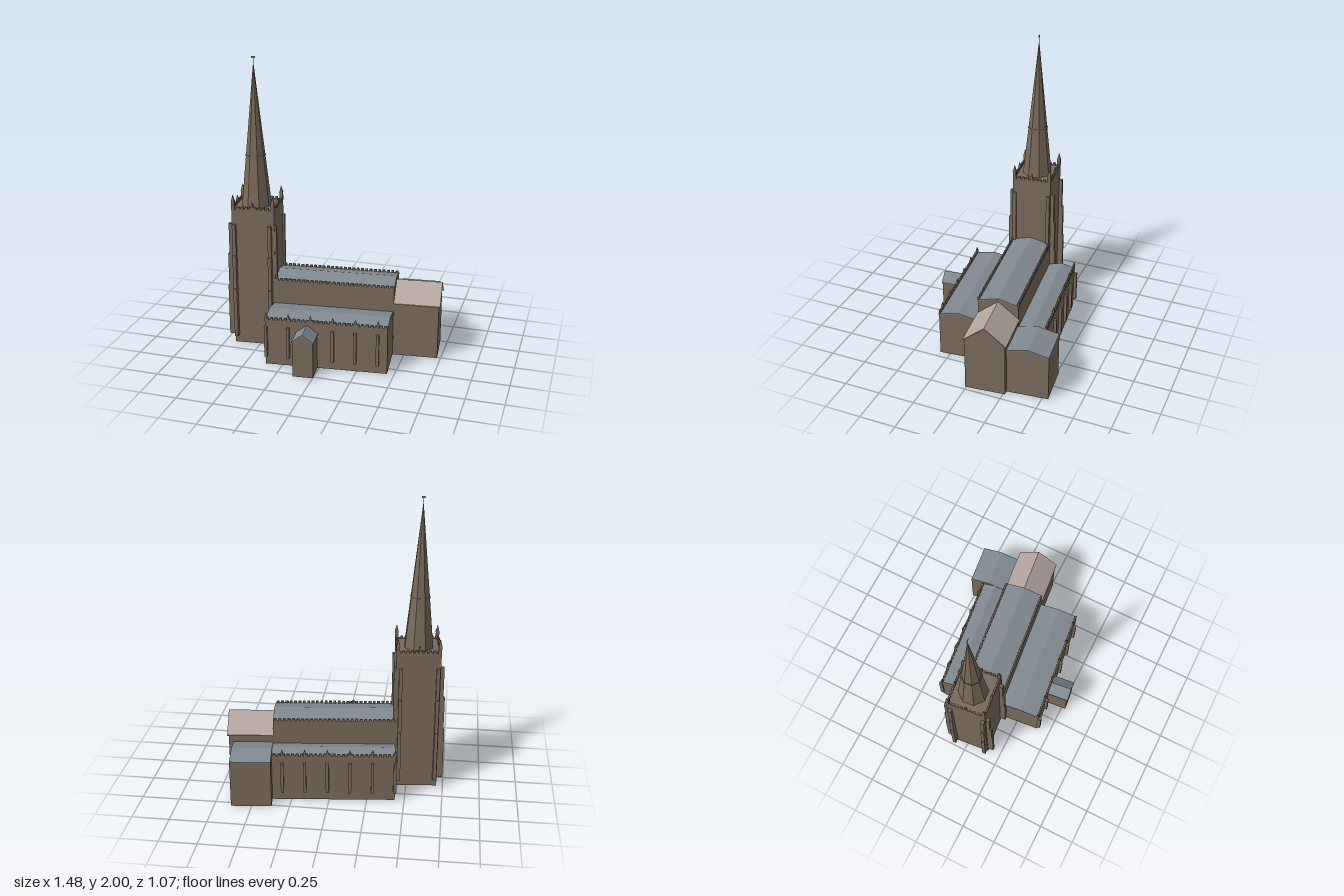
import * as THREE from 'three';

export function createModel() {
  const mat = (name, color) => {
    const m = new THREE.MeshStandardMaterial({ color });
    m.name = name;
    return m;
  };
  const stone = mat('brown stone', 0x7a6a5b);
  const lead = mat('grey lead', 0x808891);
  const tile = mat('pale tile', 0xb6a6a0);

  const model = new THREE.Group();
  model.name = 'church';
  // The building stands slightly turned; parts use x along the nave, z across it.
  const church = new THREE.Group();
  church.name = 'building';
  church.rotation.y = 0.105;
  model.add(church);

  const add = (name, geo, m, x = 0, y = 0, z = 0, parent = church) => {
    const mesh = new THREE.Mesh(geo, m);
    mesh.name = name;
    mesh.position.set(x, y, z);
    parent.add(mesh);
    return mesh;
  };
  // Box from its lower and upper corners
  const block = (name, x0, x1, y0, y1, z0, z1, m = stone) =>
    add(name, new THREE.BoxGeometry(x1 - x0, y1 - y0, z1 - z0), m,
      (x0 + x1) / 2, (y0 + y1) / 2, (z0 + z1) / 2);
  const extrude = (points, depth) => new THREE.ExtrudeGeometry(
    new THREE.Shape(points.map(([x, y]) => new THREE.Vector2(x, y))),
    { depth, bevelEnabled: false });

  // Gabled hall with a thin folded roof; the ridge runs along x, or along z if acrossNave
  function hall(name, x0, x1, z0, z1, eave, ridge, roofMat, over = 0, acrossNave = false) {
    const g = new THREE.Group();
    g.name = name;
    const w = (acrossNave ? x1 - x0 : z1 - z0) / 2;
    const len = acrossNave ? z1 - z0 : x1 - x0;
    const t = 0.007, drop = over * (ridge - eave) / w;
    const r = ridge - t;
    add(name + 'Walls', extrude([[-w, 0], [w, 0], [w, eave - t], [0, r], [-w, eave - t]], len),
      stone, 0, 0, 0, g);
    const e = w + over, ye = eave - drop;
    add(name + 'Roof', extrude([[-e, ye - t], [0, r], [e, ye - t], [e, ye], [0, ridge], [-e, ye]],
      len + over), roofMat, 0, 0, 0, g);
    if (acrossNave) {
      g.position.set((x0 + x1) / 2, 0, z0);
    } else {
      g.rotation.y = Math.PI / 2;
      g.position.set(x0, 0, (z0 + z1) / 2);
    }
    church.add(g);
  }

  // Row of merlons on a low parapet between two plan points
  function battlement(name, x0, z0, x1, z1, y, count) {
    const g = new THREE.Group();
    g.name = name;
    const len = Math.hypot(x1 - x0, z1 - z0), step = len / count;
    add('parapet', new THREE.BoxGeometry(len, 0.012, 0.012), stone, 0, -0.004, 0, g);
    const merlon = new THREE.BoxGeometry(step * 0.6, 0.016, 0.014);
    for (let i = 0; i < count; i++)
      add('merlon', merlon, stone, (i + 0.5) * step - len / 2, 0.008, 0, g);
    g.position.set((x0 + x1) / 2, y, (z0 + z1) / 2);
    g.rotation.y = -Math.atan2(z1 - z0, x1 - x0);
    church.add(g);
  }

  // Square shaft with a pyramid cap
  function pinnacle(name, x, z, y, size, shaft, cap) {
    add(name + 'Shaft', new THREE.BoxGeometry(size, shaft, size), stone, x, y + shaft / 2, z);
    const cone = new THREE.ConeGeometry(size * 0.8, cap, 4).toNonIndexed();
    cone.rotateY(Math.PI / 4);
    cone.computeVertexNormals();
    add(name + 'Cap', cone, stone, x, y + shaft + cap / 2, z);
  }

  // Nave, aisles, chancel, vestry and porch
  hall('nave', -0.4, 0.42, -0.19, 0.088, 0.49, 0.525, lead);
  hall('southAisle', -0.405, 0.416, 0.088, 0.367, 0.322, 0.348, lead);
  hall('northAisle', -0.4, 0.42, -0.378, -0.19, 0.322, 0.348, lead);
  hall('chancel', 0.42, 0.722, -0.188, 0.084, 0.393, 0.503, tile, 0.01);
  hall('vestry', 0.42, 0.69, -0.47, -0.188, 0.33, 0.36, lead);
  hall('porch', -0.188, -0.052, 0.35, 0.512, 0.255, 0.308, lead, 0.005, true);

  for (const z of [-0.187, 0.085]) battlement('naveBattlement', -0.4, z, 0.42, z, 0.49, 27);
  for (const [z, side] of [[0.363, 1], [-0.374, -1]]) {
    battlement('aisleBattlement', -0.405, z, 0.418, z, 0.326, 27);
    // Aisle buttresses with pinnacles above
    for (let i = 0; i < 6; i++) {
      const x = -0.398 + i * 0.15;
      const zc = z + side * 0.012;
      block('aisleButtress', x - 0.01, x + 0.01, 0.06, 0.28, zc - 0.013, zc + 0.013);
      pinnacle('aislePinnacle', x, z, 0.325, 0.015, 0.02, 0.032);
    }
  }

  // Tower
  const T = { x0: -0.692, x1: -0.398, z0: -0.185, z1: 0.087 };
  const cx = (T.x0 + T.x1) / 2 - 0.004, cz = (T.z0 + T.z1) / 2;
  block('tower', T.x0, T.x1, 0, 0.985, T.z0, T.z1);
  const i = 0.006;
  for (const z of [T.z0 + i, T.z1 - i]) battlement('towerBattlement', T.x0, z, T.x1, z, 0.987, 10);
  for (const x of [T.x0 + i, T.x1 - i]) battlement('towerBattlement', x, T.z0, x, T.z1, 0.987, 9);

  // Corner buttresses in three stages, each shallower than the one below
  const stages = [[0.06, 0.42, 0.04], [0.42, 0.66, 0.034], [0.66, 0.88, 0.024]];
  for (const [y0, y1, out] of stages) {
    for (const x of [T.x0 + 0.018, T.x1 - 0.03]) {
      block('towerButtress', x - 0.012, x + 0.012, y0, y1, T.z0 - out, T.z0);
      block('towerButtress', x - 0.012, x + 0.012, y0, y1, T.z1, T.z1 + out);
    }
    for (const z of [T.z0 + 0.025, T.z1 - 0.016])
      block('towerButtress', T.x0 - out, T.x0, y0, y1, z - 0.012, z + 0.012);
  }
  for (const z of [T.z0 + 0.014, T.z1 - 0.014])
    block('eastButtress', T.x1, T.x1 + 0.014, 0.45, 0.88, z - 0.012, z + 0.012);

  // Tower pinnacles: tall at the corners, small at mid-sides
  for (const x of [T.x0 + 0.01, T.x1 - 0.01])
    for (const z of [T.z0 + 0.01, T.z1 - 0.01])
      pinnacle('cornerPinnacle', x, z, 0.98, 0.022, 0.055, 0.052);
  for (const [x, z] of [[cx, T.z0 + i], [cx, T.z1 - i], [T.x0 + i, cz], [T.x1 - i, cz]])
    pinnacle('sidePinnacle', x, z, 0.98, 0.014, 0.03, 0.036);

  // Octagonal spire with a narrow band, rod and vane
  const octagon = (rTop, rBottom, h) => {
    const g = new THREE.CylinderGeometry(rTop, rBottom, h, 8).toNonIndexed();
    g.rotateY(Math.PI / 8);
    g.computeVertexNormals();
    return g;
  };
  add('spire', octagon(0.002, 0.102, 0.97), stone, cx, 1.465, cz);
  add('spireBand', octagon(0.069, 0.07, 0.008), stone, cx, 1.335, cz);
  add('vaneRod', new THREE.CylinderGeometry(0.0015, 0.0015, 0.06, 6), lead, cx, 1.97, cz);
  add('vane', new THREE.BoxGeometry(0.024, 0.014, 0.003), lead, cx, 1.993, cz);

  return model;
}
